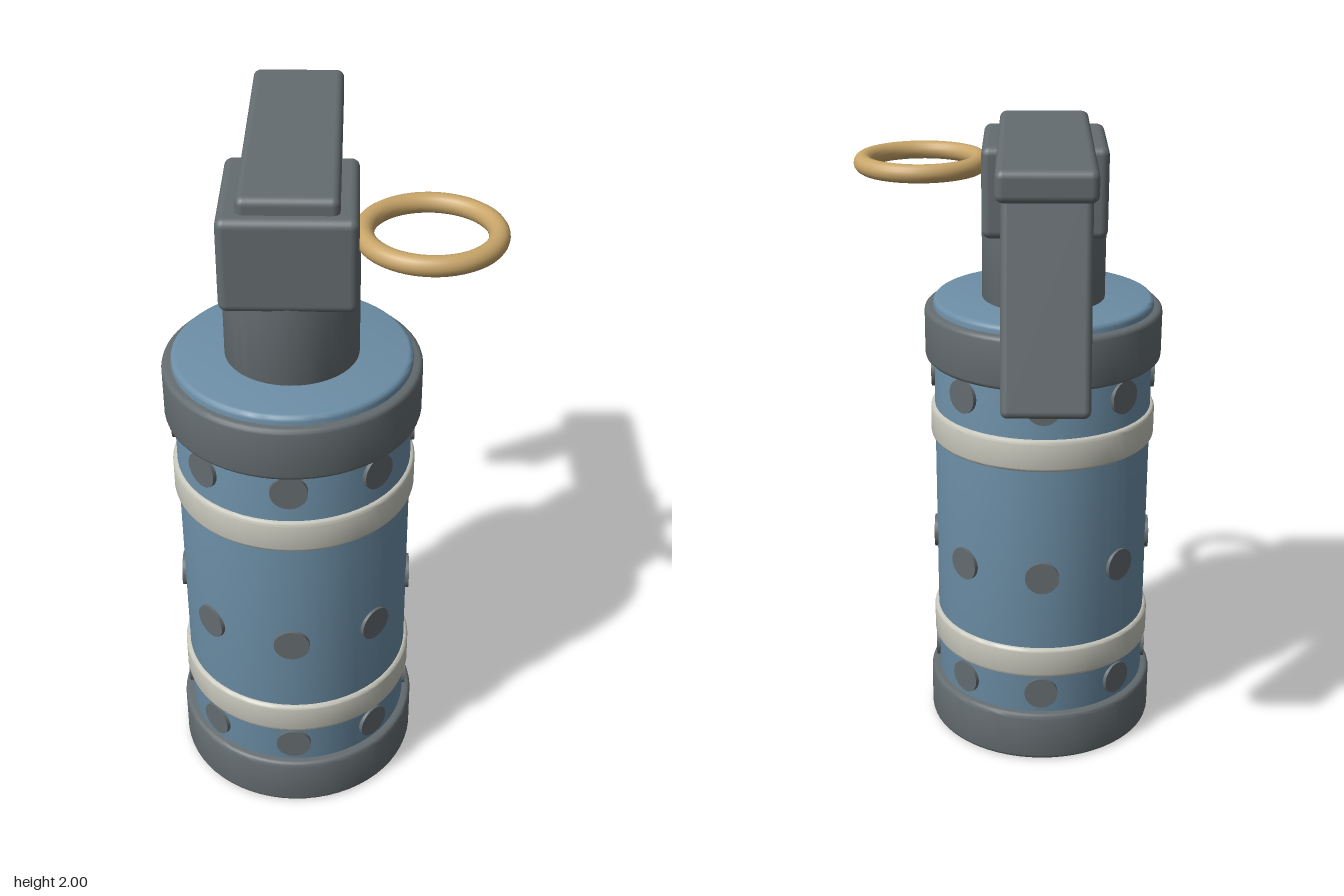
import * as THREE from 'three';
import { toCreasedNormals } from 'three/addons/utils/BufferGeometryUtils.js';
import { RoundedBoxGeometry } from 'three/addons/geometries/RoundedBoxGeometry.js';

function material(name, color) {
  const m = new THREE.MeshStandardMaterial({ color });
  m.name = name;
  return m;
}

// Solid disc or drum between two heights, with rounded rims
function drum(radius, y0, y1, bevel) {
  const pts = [new THREE.Vector2(0, y0)];
  const steps = 3;
  for (const [cy, start] of [[y0 + bevel, -Math.PI / 2], [y1 - bevel, 0]]) {
    for (let i = 0; i <= steps; i++) {
      const a = start + (i / steps) * Math.PI / 2;
      pts.push(new THREE.Vector2(radius - bevel + Math.cos(a) * bevel, cy + Math.sin(a) * bevel));
    }
  }
  pts.push(new THREE.Vector2(0, y1));
  return toCreasedNormals(new THREE.LatheGeometry(pts, 64), 0.6);
}

export function createModel() {
  const steel = material('dark steel', 0x646c6f);
  const blue = material('blue paint', 0x6c8ea6);
  const ivory = material('ivory band', 0xc6c6bb);
  const brass = material('brass', 0xc8a569);

  const model = new THREE.Group();
  model.name = 'canister';
  const add = (parent, name, geometry, mat, x = 0, y = 0, z = 0) => {
    const mesh = new THREE.Mesh(geometry, mat);
    mesh.name = name;
    mesh.position.set(x, y, z);
    parent.add(mesh);
    return mesh;
  };

  // Everything round about the canister axis
  const body = new THREE.Group();
  body.name = 'body';
  body.position.set(-0.107, 0, 0.21);
  model.add(body);

  add(body, 'tube', drum(0.342, 0.02, 1.46, 0.015), blue);
  add(body, 'bottomCap', drum(0.369, 0, 0.166, 0.014), steel);
  add(body, 'topCap', drum(0.369, 1.27, 1.434, 0.014), steel);
  add(body, 'lowerBand', drum(0.355, 0.297, 0.4, 0.012), ivory);
  add(body, 'upperBand', drum(0.355, 1.01, 1.113, 0.012), ivory);
  add(body, 'neck', drum(0.19, 1.44, 1.815, 0.008), steel);

  // Three rows of eight round vents
  const vent = new THREE.CylinderGeometry(0.053, 0.053, 0.03, 24);
  vent.rotateX(Math.PI / 2);
  for (const y of [0.237, 0.65, 1.214]) {
    for (let i = 0; i < 8; i++) {
      const a = (i * Math.PI) / 4;
      const mesh = add(body, 'vent', vent, steel, Math.sin(a) * 0.335, y, Math.cos(a) * 0.335);
      mesh.rotation.y = a;
    }
  }

  // Fuse block, lever and hanging handle
  add(model, 'fuseBlock', new RoundedBoxGeometry(0.37, 0.27, 0.395, 3, 0.024),
    steel, -0.107, 1.82, 0.207);
  add(model, 'leverTop', new RoundedBoxGeometry(0.27, 0.088, 0.875, 3, 0.022),
    steel, -0.106, 1.956, -0.067);
  const handle = add(model, 'leverHandle', new RoundedBoxGeometry(0.243, 0.62, 0.086, 3, 0.02),
    steel, -0.107, 1.645, -0.463);
  handle.rotation.x = 0.218;

  // Pull ring lying flat beside the block
  const ring = new THREE.TorusGeometry(0.178, 0.028, 16, 64);
  ring.rotateX(Math.PI / 2);
  add(model, 'pullRing', ring, brass, 0.266, 1.86, 0.275);

  return model;
}
